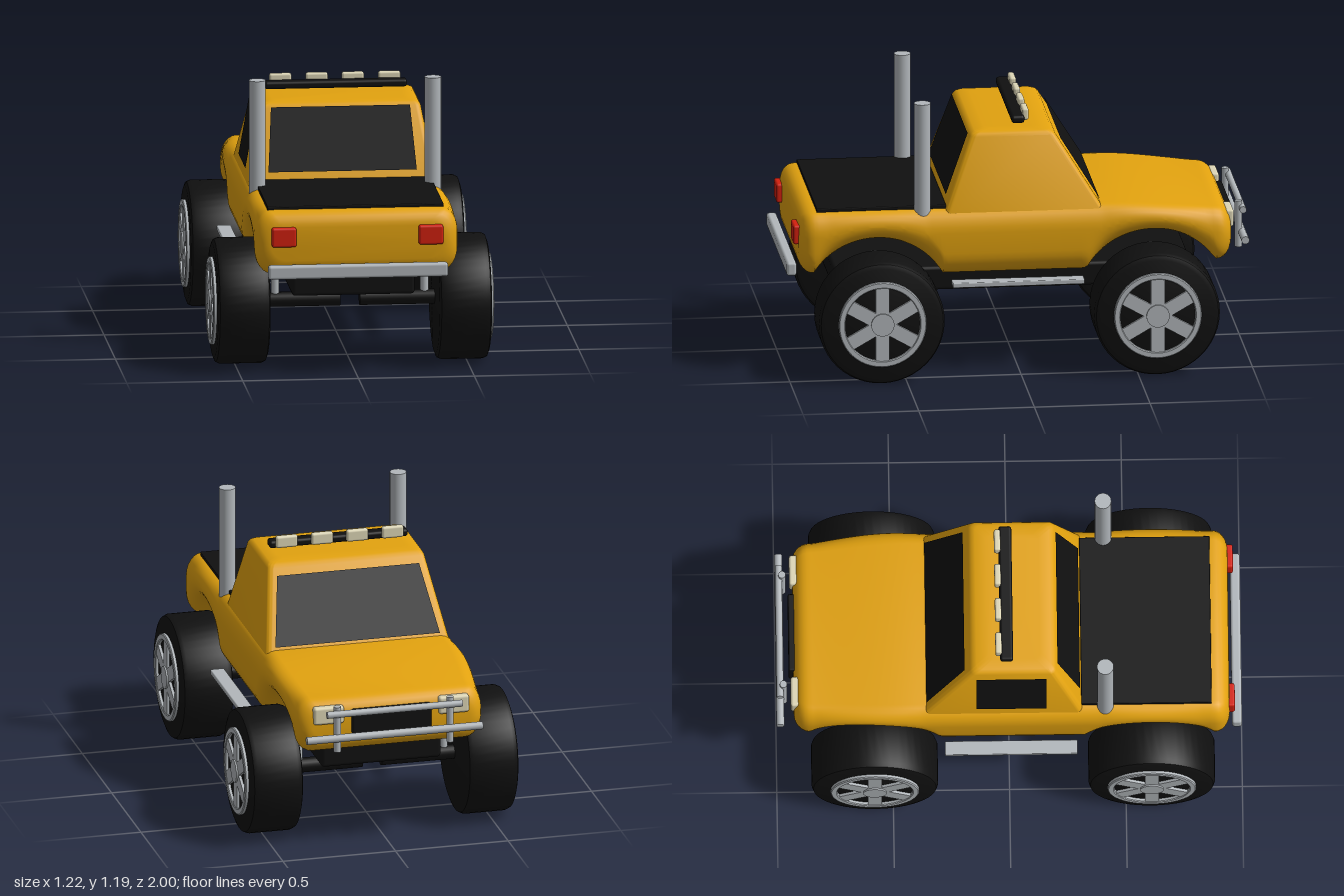
import * as THREE from 'three';
import { toCreasedNormals } from 'three/addons/utils/BufferGeometryUtils.js';
import { RoundedBoxGeometry } from 'three/addons/geometries/RoundedBoxGeometry.js';

const mat = (name, color) => {
  const m = new THREE.MeshStandardMaterial({ color });
  m.name = name;
  return m;
};

export function createModel() {
  const truck = new THREE.Group();
  truck.name = 'pickupTruck';
  const yellow = mat('yellow paint', 0xe2a20f);
  const black = mat('black', 0x101010);
  const metal = mat('metal', 0xb2b7bb);
  const cream = mat('cream lamp', 0xddd6b6);
  const red = mat('red lamp', 0xd4200f);

  const add = (name, geo, material, parent = truck) => {
    const mesh = new THREE.Mesh(geo, material);
    mesh.name = name;
    parent.add(mesh);
    return mesh;
  };
  // rounded box given by its min and max on each axis
  const box = (name, material, [x0, x1], [y0, y1], [z0, z1], r = 0.008) => {
    const m = add(name, new RoundedBoxGeometry(x1 - x0, y1 - y0, z1 - z0, 2, r), material);
    m.position.set((x0 + x1) / 2, (y0 + y1) / 2, (z0 + z1) / 2);
    return m;
  };
  // straight round bar between two points
  const bar = (name, material, a, b, r) => {
    const p = new THREE.Vector3(...a), q = new THREE.Vector3(...b);
    const m = add(name, new THREE.CylinderGeometry(r, r, p.distanceTo(q), 20), material);
    m.position.copy(p).add(q).multiplyScalar(0.5);
    m.quaternion.setFromUnitVectors(new THREE.Vector3(0, 1, 0), q.sub(p).normalize());
    return m;
  };
  // closed skin over equal-length rings of [x, y, z], with both ends capped
  const loft = (rings, crease) => {
    const n = rings[0].length, pos = rings.flat(2), idx = [];
    for (let i = 0; i < rings.length - 1; i++) {
      for (let j = 0; j < n; j++) {
        const a = i * n + j, b = i * n + (j + 1) % n;
        idx.push(a, b, b + n, a, b + n, a + n);
      }
    }
    const last = (rings.length - 1) * n;
    for (let j = 1; j < n - 1; j++) {
      idx.push(0, j + 1, j);
      idx.push(last, last + j, last + j + 1);
    }
    const geo = new THREE.BufferGeometry();
    geo.setAttribute('position', new THREE.Float32BufferAttribute(pos, 3));
    geo.setIndex(idx);
    return toCreasedNormals(geo, crease);
  };
  // rounded rectangle outline, counter-clockwise
  const roundRect = (u0, u1, v0, v1, ru, rv) => {
    const pts = [];
    for (let c = 0; c < 4; c++) {
      const cu = c === 0 || c === 3 ? u1 - ru : u0 + ru;
      const cv = c < 2 ? v1 - rv : v0 + rv;
      for (let k = 0; k <= 6; k++) {
        const t = (c + k / 6) * Math.PI / 2;
        pts.push([cu + ru * Math.cos(t), cv + rv * Math.sin(t)]);
      }
    }
    return pts;
  };

  // body: cross-sections along z, the underside rising over the wheels
  const axleZ = [0.61, -0.58], hubY = 0.273, rear = 0.947, front = -0.925, round = 0.065;
  const smooth = THREE.MathUtils.smoothstep;
  const section = (z) => {
    const d = Math.min(rear - z, z - front, round);
    const inset = round - Math.sqrt(Math.max(0, round ** 2 - (round - d) ** 2));
    const w = 0.438 - 0.025 * smooth(-z, 0.45, 0.92) - inset;
    const top = 0.722 - 0.045 * smooth(-z, 0.4, 1.0) - inset;
    let bottom = 0.432 + 0.015 * smooth(Math.abs(z), 0.3, 0.85) + inset;
    for (const az of axleZ) {
      const h = 0.325 ** 2 - (z - az) ** 2;
      if (h > 0) bottom = Math.max(bottom, hubY + Math.sqrt(h));
    }
    return roundRect(-w, w, bottom, top, 0.07, Math.min(0.1, (top - bottom) * 0.49))
      .map(([x, y]) => [x, y, z]);
  };
  const zs = [];
  for (let k = 0; k < 6; k++) zs.push(front + round * (1 - Math.cos(k / 6 * Math.PI / 2)));
  for (let k = 0; k <= 100; k++) zs.push(front + round + (rear - front - 2 * round) * k / 100);
  for (let k = 5; k >= 0; k--) zs.push(rear - round * (1 - Math.cos(k / 6 * Math.PI / 2)));
  add('body', loft(zs.map(section), 0.7), yellow);

  // cab: level outlines, tapering to the roof
  const cabT = (y) => (y - 0.715) / 0.33;
  const cabRear = (y) => 0.315 - 0.12 * cabT(y);
  const cabFront = (y) => -0.36 + 0.205 * cabT(y);
  const cabSide = (y) => 0.405 - 0.06 * cabT(y);
  const cabRing = ([y, inset]) => roundRect(-cabSide(y) + inset, cabSide(y) - inset,
    -cabRear(y) + inset, -cabFront(y) - inset, 0.025, 0.025).map(([x, v]) => [x, y, -v]);
  add('cab', loft([[0.69, 0], [1.025, 0], [1.037, 0.005], [1.044, 0.016], [1.048, 0.06]].map(cabRing), 0.6), yellow);

  // windows: single faces just off the cab
  const pane = (name, corners) => {
    const geo = new THREE.BufferGeometry();
    geo.setAttribute('position', new THREE.Float32BufferAttribute(corners.flat(), 3));
    geo.setIndex([0, 1, 2, 0, 2, 3]);
    geo.computeVertexNormals();
    add(name, geo, black);
  };
  const off = 0.008;
  const rz = (y) => cabRear(y) + off, fz = (y) => cabFront(y) - off, sx = (y) => -cabSide(y) - off;
  pane('rearWindow', [[-0.32, 0.765, rz(0.765)], [0.32, 0.765, rz(0.765)], [0.3, 1.03, rz(1.03)], [-0.3, 1.03, rz(1.03)]]);
  pane('windshield', [[0.365, 0.735, fz(0.735)], [-0.365, 0.735, fz(0.735)], [-0.315, 1.0, fz(1.0)], [0.315, 1.0, fz(1.0)]]);
  pane('sideWindow', [[sx(0.755), 0.755, -0.14], [sx(0.755), 0.755, 0.16], [sx(1.0), 1.0, 0.16], [sx(1.0), 1.0, -0.14]]);

  // bed cover, chassis, bumper and grille
  box('bedCover', black, [-0.38, 0.38], [0.708, 0.735], [0.31, 0.87], 0.003);
  box('chassis', black, [-0.265, 0.265], [0.32, 0.425], [-0.76, 0.78], 0.015);
  box('rearBumper', metal, [-0.388, 0.388], [0.44, 0.5], [0.957, 1.0], 0.012);
  box('grille', black, [-0.175, 0.175], [0.53, 0.64], [-0.945, -0.91]);

  // roof light bar
  box('lightBar', black, [-0.307, 0.307], [1.067, 1.1], [-0.038, 0.018], 0.012);
  for (const x of [-0.235, -0.078, 0.078, 0.235]) {
    box('roofLamp', cream, [x - 0.048, x + 0.048], [1.073, 1.126], [-0.058, -0.03], 0.01);
  }

  // parts repeated on both sides
  for (const s of [1, -1]) {
    const side = (a, b) => (s > 0 ? [a, b] : [-b, -a]);
    box('tailLamp', red, side(0.264, 0.37), [0.575, 0.66], [0.935, 0.97], 0.01);
    box('headlamp', cream, side(0.21, 0.345), [0.583, 0.662], [-0.938, -0.9], 0.012);
    box('sideStep', metal, side(0.425, 0.487), [0.392, 0.414], [-0.277, 0.293], 0.005);
    bar('exhaustStack', metal, [s * 0.379, 0.69, 0.413], [s * 0.379, 1.195, 0.413], 0.036);
    bar('bullBarPost', metal, [s * 0.25, 0.47, -0.968], [s * 0.25, 0.675, -0.968], 0.016);
    for (const z of axleZ) {
      bar('axle', black, [s * 0.042, 0.273, z], [s * 0.4, 0.273, z], 0.032);
      bar('strut', metal, [s * 0.322, 0.285, z], [s * 0.322, 0.52, z], 0.018);
    }
  }
  bar('bullBarUpper', metal, [-0.3, 0.645, -0.983], [0.3, 0.645, -0.983], 0.015);
  bar('bullBarLower', metal, [-0.39, 0.535, -0.983], [0.39, 0.535, -0.983], 0.017);

  // wheels: lathed tyre and rim with six spokes, axis along local y
  const lathe = (pts) => toCreasedNormals(
    new THREE.LatheGeometry(pts.map(([r, h]) => new THREE.Vector2(r, h)), 48), 0.6);
  const tyreGeo = lathe([[0, -0.113], [0.245, -0.113], [0.264, -0.106], [0.272, -0.088],
    [0.272, 0.088], [0.264, 0.106], [0.245, 0.113], [0, 0.113]]);
  const rimGeo = lathe([[0.19, 0.1], [0.19, 0.124], [0.186, 0.128], [0.166, 0.128], [0.162, 0.124], [0.162, 0.1]]);
  const spokeGeo = new THREE.BoxGeometry(0.35, 0.024, 0.06);
  const capGeo = new THREE.CylinderGeometry(0.05, 0.05, 0.03, 24);
  for (const s of [1, -1]) {
    for (const z of axleZ) {
      const wheel = new THREE.Group();
      wheel.name = 'wheel';
      add('tyre', tyreGeo, black, wheel);
      add('rim', rimGeo, metal, wheel);
      for (let k = 0; k < 3; k++) {
        const spoke = add('spokePair', spokeGeo, metal, wheel);
        spoke.position.y = 0.113;
        spoke.rotation.y = k * Math.PI / 3;
      }
      add('hubCap', capGeo, metal, wheel).position.y = 0.117;
      wheel.position.set(s * 0.478, hubY, z);
      wheel.rotation.z = -s * Math.PI / 2;
      truck.add(wheel);
    }
  }
  return truck;
}
